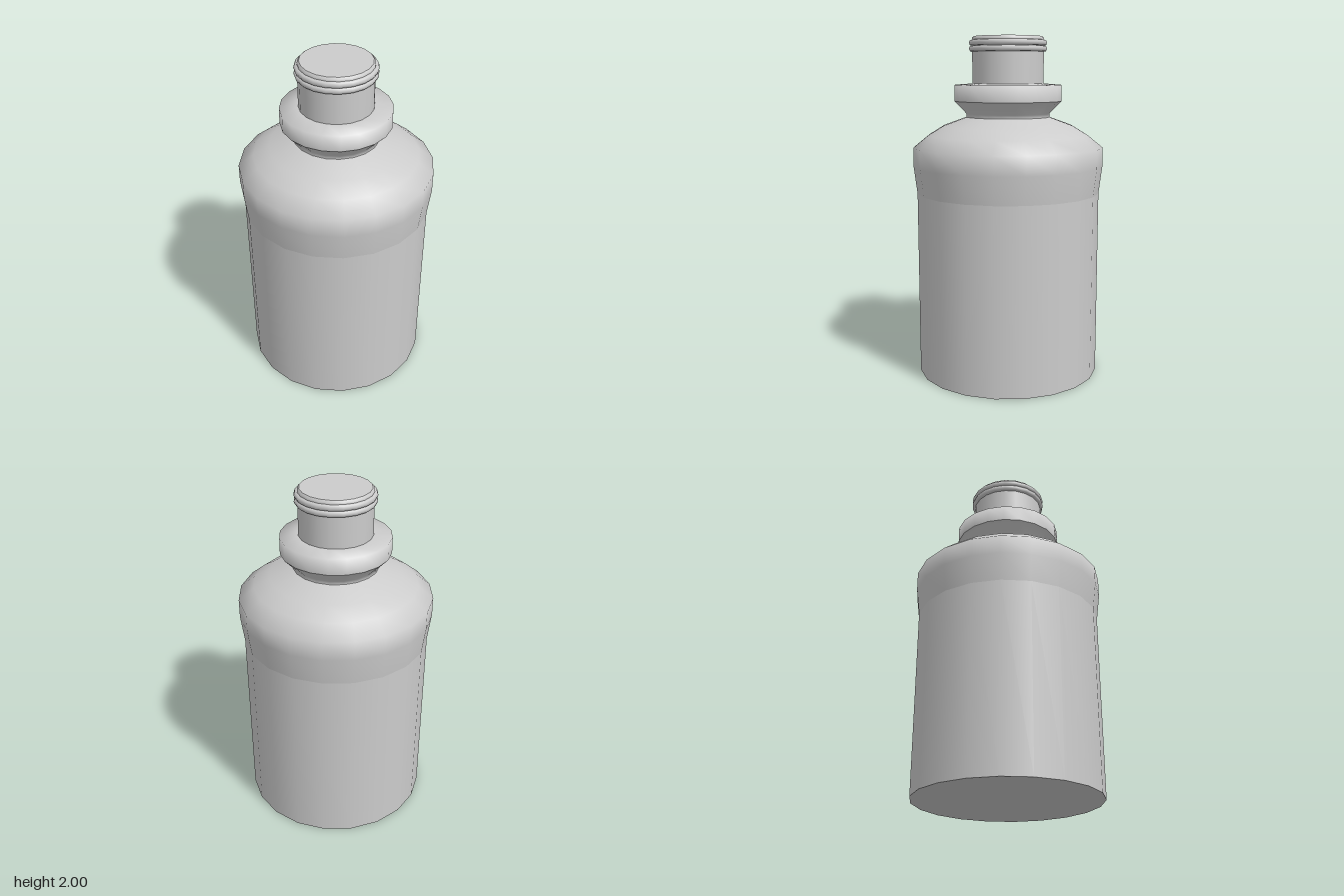
import * as THREE from 'three';

const SIDES = 20;
const material = new THREE.MeshStandardMaterial({ color: 0xcccccc });

// Turned section: [radius, height] pairs, running upwards on the outside
function turned(name, profile) {
  const points = profile.map(([r, y]) => new THREE.Vector2(r, y));
  const mesh = new THREE.Mesh(new THREE.LatheGeometry(points, SIDES), material);
  mesh.name = name;
  return mesh;
}

export function createModel() {
  const bottle = new THREE.Group();
  bottle.name = 'bottle';

  // Straight body with a flat base
  bottle.add(turned('base', [[0, 0], [0.54, 0]]));
  bottle.add(turned('body', [[0.54, 0], [0.54, 1.09]]));

  // Slightly bulging shoulder that curves in to the neck
  bottle.add(turned('shoulder', [
    [0.54, 1.09], [0.56, 1.25], [0.56, 1.36], [0.473, 1.43],
    [0.383, 1.485], [0.245, 1.535],
  ]));

  // Flared collar ring
  bottle.add(turned('collarFlare', [[0.245, 1.535], [0.245, 1.555], [0.315, 1.628]]));
  bottle.add(turned('collar', [[0.315, 1.628], [0.315, 1.722], [0.21, 1.73]]));

  // Neck
  bottle.add(turned('neck', [[0.21, 1.73], [0.21, 1.912]]));

  // Two rounded screw-thread rings
  for (const y of [1.912, 1.946]) {
    bottle.add(turned('threadRing', [
      [0.21, y], [0.223, y + 0.003], [0.229, y + 0.017],
      [0.223, y + 0.031], [0.21, y + 0.034],
    ]));
  }

  // Lip and closed top
  bottle.add(turned('lip', [[0.21, 1.98], [0.21, 1.99], [0.2, 2]]));
  bottle.add(turned('top', [[0.2, 2], [0, 2]]));

  return bottle;
}
